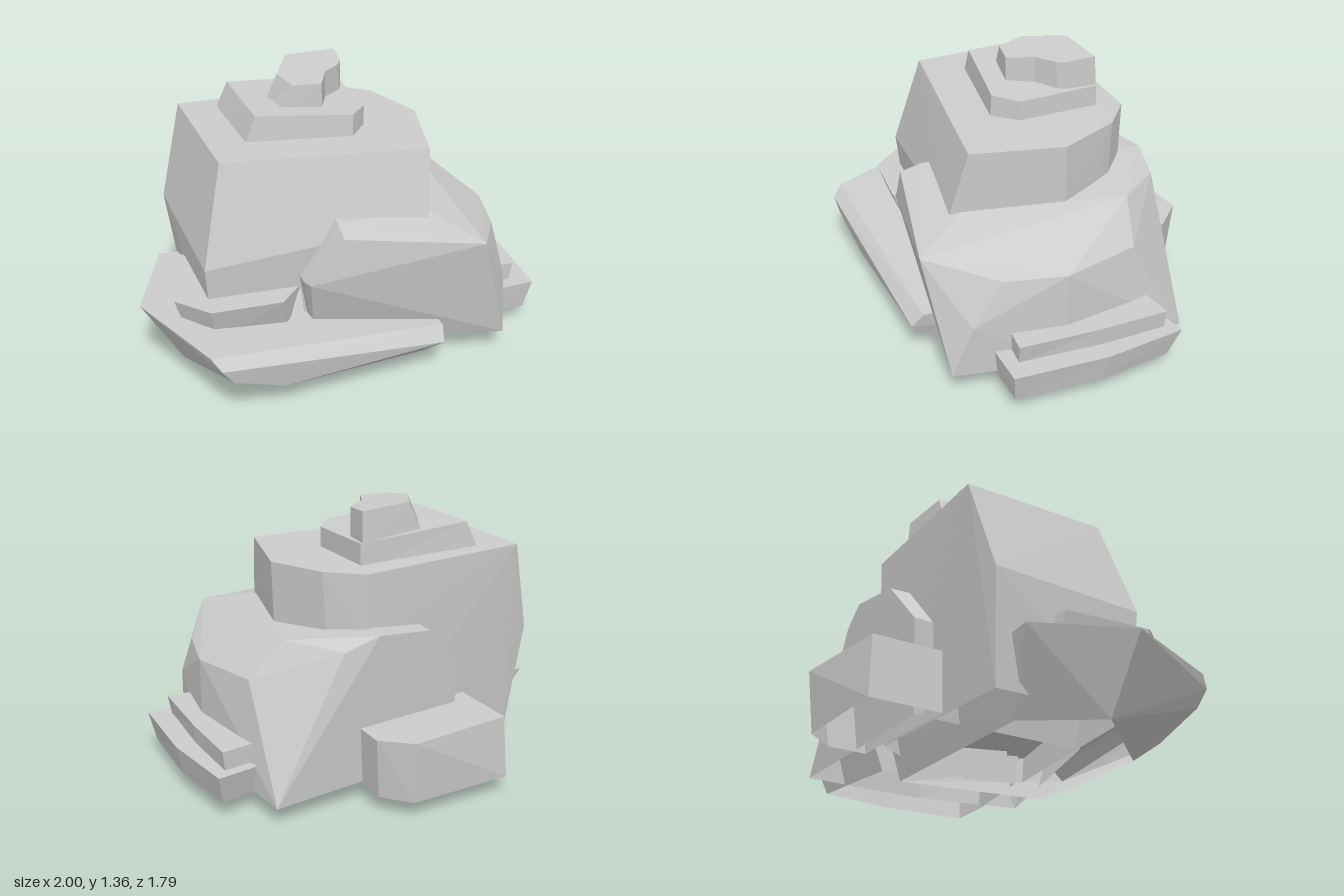
import * as THREE from 'three';
import { ConvexGeometry } from 'three/addons/geometries/ConvexGeometry.js';

const material = new THREE.MeshStandardMaterial({ color: 0xcccccc, flatShading: true, side: THREE.DoubleSide });

// A faceted stone, hollow from below: the hull of a few corner points [x, y, z] without its underside
function stone(name, corners) {
  const geo = new ConvexGeometry(corners.map(c => new THREE.Vector3(...c)));
  const { position, normal } = geo.attributes;
  const kept = [];
  for (let i = 0; i < position.count; i += 3) {
    if (normal.getY(i) > -0.9) kept.push(i, i + 1, i + 2);
  }
  geo.setIndex(kept);
  const mesh = new THREE.Mesh(geo, material);
  mesh.name = name;
  return mesh;
}

// A flat-topped layer: walls between a lower and an upper ring of equal length, open below
function layer(name, lower, upper) {
  const n = lower.length;
  const index = [];
  for (let i = 0; i < n; i++) {
    const j = (i + 1) % n;
    index.push(i, j, n + j, i, n + j, n + i);
  }
  const outline = upper.map(p => new THREE.Vector2(p[0], -p[2]));
  for (const tri of THREE.ShapeUtils.triangulateShape(outline, [])) index.push(...tri.map(k => n + k));
  const geo = new THREE.BufferGeometry();
  geo.setAttribute('position', new THREE.Float32BufferAttribute([...lower, ...upper].flat(), 3));
  geo.setIndex(index);
  const sharp = geo.toNonIndexed();
  sharp.computeVertexNormals();
  const mesh = new THREE.Mesh(sharp, material);
  mesh.name = name;
  return mesh;
}

export function createModel() {
  const group = new THREE.Group();
  group.name = 'rockPile';

  // Tall middle boulder
  group.add(stone('mainBoulder', [
    [-0.78, 1.12, -0.32], [-0.59, 1.115, 0.39], [0.41, 1.08, 0.26], [0.41, 1.08, -0.2],
    [0.22, 1.09, -0.46], [0.03, 1.09, -0.55],
    [-0.88, 0.66, -0.22], [-0.68, 0.63, 0.53], [0.4, 0.74, 0.36], [0.4, 0.72, -0.2],
    [0.2, 0.75, -0.45], [0.03, 0.75, -0.54],
    [-0.8, 0.11, -0.2], [-0.65, 0.11, 0.48], [0.36, 0.11, 0.3], [0.36, 0.11, -0.2], [0.03, 0.11, -0.5],
  ]));

  // Wide boulder leaning on its side
  group.add(stone('sideBoulder', [
    [-0.05, 0.8, 0.44], [-0.03, 0.77, 0.55], [0.4, 0.77, 0.3], [0.65, 0.69, 0.52],
    [0.41, 0.79, -0.5], [0, 0.83, -0.66], [-0.27, 0.8, -0.56],
    [-0.22, 0.53, 0.5], [-0.19, 0.54, 0.57], [-0.16, 0.12, 0.42],
    [0.76, 0.6, 0.15], [0.76, 0.6, -0.15], [0.58, 0.61, -0.5], [0.8, 0.38, 0.3], [0.79, 0.11, 0.4],
    [0.76, 0.11, -0.15], [0.17, 0.77, -0.68], [0.51, 0.08, -0.78], [-0.45, 0.57, -0.48], [-0.4, 0.11, -0.46],
  ]));

  // Block behind
  group.add(stone('backBlock', [
    [-0.6, 0.39, -0.7], [-0.11, 0.39, -0.9], [0.05, 0.38, -0.8], [0.1, 0.38, -0.6], [-0.51, 0.39, -0.36],
    [-0.62, 0.08, -0.71], [-0.11, 0.08, -0.87], [0.03, 0.08, -0.77],
    [0.08, 0.08, -0.58], [-0.53, 0.08, -0.36],
  ]));

  // Two stepped ledges on one side
  group.add(layer('lowerSideLedge', [
    [0.3, 0.08, 0.24], [0.75, 0.08, 0.19], [0.96, 0.08, 0.13], [0.88, 0.08, -0.3], [0.74, 0.08, -0.65], [0.3, 0.08, -0.45],
  ], [
    [0.3, 0.23, 0.26], [0.78, 0.23, 0.2], [1, 0.23, 0.14], [0.91, 0.23, -0.32], [0.76, 0.23, -0.71], [0.3, 0.23, -0.5],
  ]));
  group.add(layer('upperSideLedge', [
    [0.3, 0.22, 0.2], [0.88, 0.22, 0.1], [0.81, 0.22, -0.3], [0.72, 0.22, -0.63], [0.3, 0.22, -0.45],
  ], [
    [0.3, 0.325, 0.2], [0.9, 0.325, 0.1], [0.82, 0.325, -0.3], [0.73, 0.325, -0.64], [0.3, 0.325, -0.45],
  ]));

  // Broad tilted slab in front, running beneath the pile
  group.add(stone('frontSlab', [
    [-0.92, 0.38, -0.1], [-1, 0.38, 0.4], [-0.67, 0.36, 0.85], [-0.62, 0.31, 0.89], [-0.57, 0.23, 0.86],
    [0.46, 0.24, 0.5], [0.46, 0.175, 0.56], [-0.33, 0.13, 0.77], [0.2, 0.25, -0.45],
    [-0.69, 0.015, -0.08], [-0.81, 0.02, 0.32], [-0.32, 0.03, 0.63], [0.38, 0.035, 0.42], [0.2, 0, -0.38],
  ]));

  // Thin ledge resting on the slab, with a chipped end
  group.add(layer('frontLedge', [
    [-0.83, 0.27, 0.05], [-0.84, 0.27, 0.12], [-0.78, 0.27, 0.48], [-0.64, 0.27, 0.57],
    [-0.3, 0.27, 0.5], [-0.21, 0.27, 0.53], [-0.24, 0.27, 0.3],
  ], [
    [-0.84, 0.47, 0.06], [-0.91, 0.47, 0.09], [-0.83, 0.47, 0.52], [-0.66, 0.47, 0.64],
    [-0.32, 0.47, 0.58], [-0.23, 0.47, 0.43], [-0.24, 0.47, 0.3],
  ]));

  // Small layer on top
  group.add(layer('topLayer', [
    [-0.6, 1.08, -0.28], [-0.47, 1.08, 0.17], [0.06, 1.06, 0.11], [0.13, 1.06, -0.03], [0.03, 1.06, -0.42],
  ], [
    [-0.53, 1.24, -0.29], [-0.41, 1.235, 0.15], [0.06, 1.2, 0.1], [0.13, 1.19, -0.03], [0.03, 1.2, -0.42],
  ]));

  // Notched cap stone
  group.add(layer('capStone', [
    [-0.31, 1.18, -0.3], [-0.36, 1.18, -0.1], [-0.31, 1.18, 0.03], [-0.08, 1.18, 0.01],
    [-0.05, 1.18, -0.13], [0.03, 1.18, -0.23], [0.04, 1.18, -0.28], [0.02, 1.18, -0.42],
  ], [
    [-0.23, 1.36, -0.32], [-0.29, 1.345, -0.1], [-0.22, 1.33, 0.02], [-0.08, 1.33, 0.01],
    [-0.05, 1.335, -0.13], [0.02, 1.335, -0.22], [0.04, 1.34, -0.27], [0.02, 1.35, -0.41],
  ]));

  return group;
}
